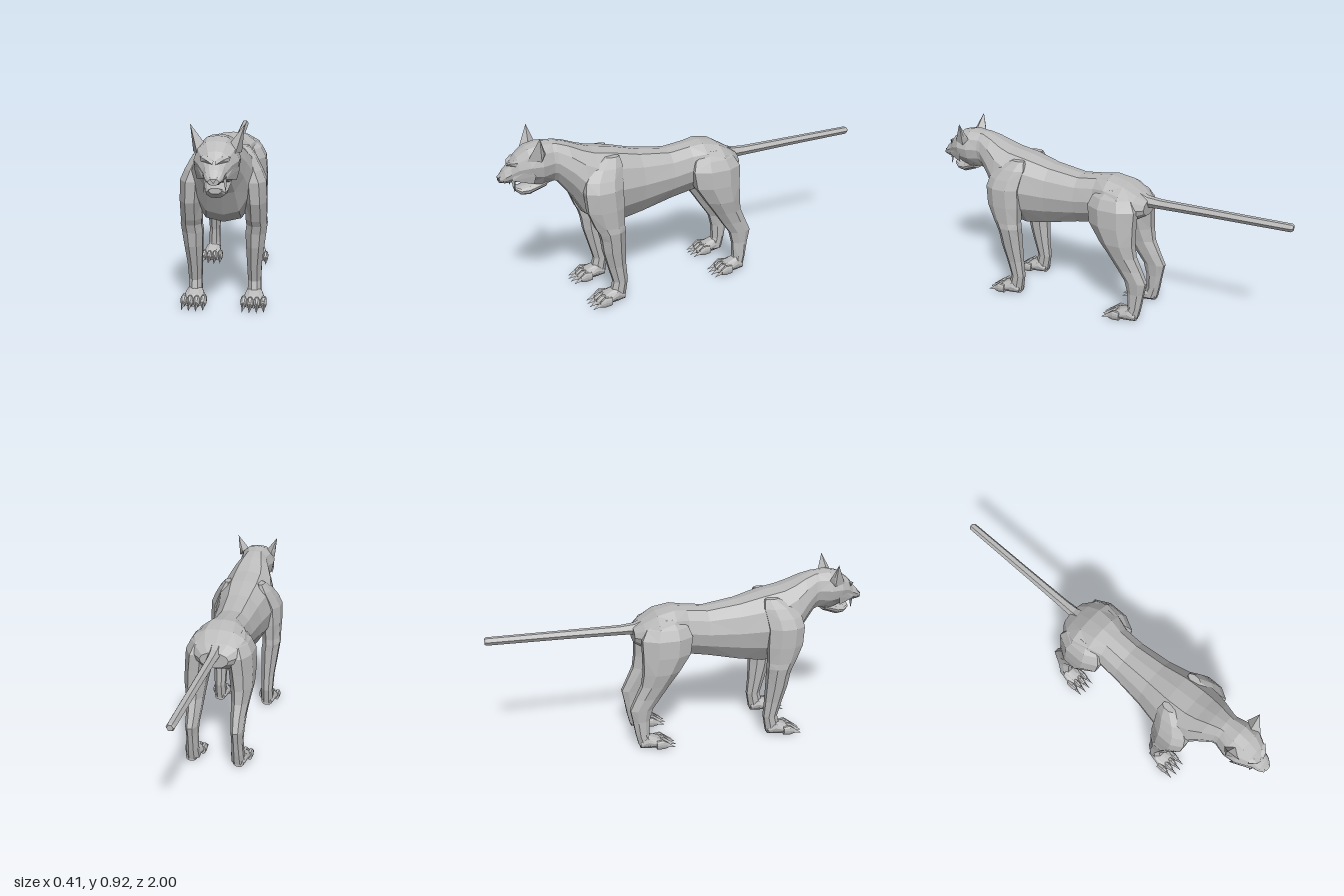
import * as THREE from 'three';
import { ConvexGeometry } from 'three/addons/geometries/ConvexGeometry.js';

const V = (x, y, z) => new THREE.Vector3(x, y, z);

// Faceted skin over a list of equal-length rings, capped at both ends, facing outward
function loft(rings) {
  const tris = [];
  const n = rings[0].length;
  for (let i = 0; i < rings.length - 1; i++) {
    for (let j = 0; j < n; j++) {
      const k = (j + 1) % n;
      const a = rings[i][j], b = rings[i][k], c = rings[i + 1][k], d = rings[i + 1][j];
      if ((i + j) % 2) tris.push([a, b, c], [a, c, d]);
      else tris.push([a, b, d], [b, c, d]);
    }
  }
  const last = rings[rings.length - 1];
  for (let j = 1; j < n - 1; j++) {
    tris.push([rings[0][0], rings[0][j + 1], rings[0][j]], [last[0], last[j], last[j + 1]]);
  }
  // The signed volume tells which way the faces point
  const mid = rings[0][0];
  let volume = 0;
  for (const [a, b, c] of tris) {
    volume += a.clone().sub(mid).dot(b.clone().sub(mid).cross(c.clone().sub(mid)));
  }
  const points = tris.flatMap(([a, b, c]) => (volume < 0 ? [a, c, b] : [a, b, c]));
  const geo = new THREE.BufferGeometry().setFromPoints(points);
  geo.computeVertexNormals();
  return geo;
}

// Half outline of a torso section, from the spine down to the belly
const HALF = [[0, 1], [0.45, 0.94], [0.82, 0.62], [1, 0.1], [0.9, -0.4], [0.52, -0.9], [0, -1]];
const OUTLINE = [...HALF, ...HALF.slice(1, -1).reverse().map(([x, y]) => [-x, y])];

// Upright section across z
function section(z, top, bottom, w, cx = 0) {
  const cy = (top + bottom) / 2, h = (top - bottom) / 2;
  return OUTLINE.map(([x, y]) => V(cx + x * w, cy + y * h, z));
}

// Level eight-sided section of a limb
function limbRing(side, [y, x, z, rx, rz]) {
  return Array.from({ length: 8 }, (_, i) => {
    const a = (i + 0.5) * Math.PI / 4;
    return V(side * (x + Math.cos(a) * rx * 1.06), y, z + Math.sin(a) * rz * 1.06);
  });
}

// z, top, bottom, half width
const BODY = [
  [0.80, 0.865, 0.69, 0.075], [0.72, 0.862, 0.655, 0.085], [0.66, 0.845, 0.575, 0.115],
  [0.60, 0.82, 0.465, 0.145], [0.54, 0.80, 0.415, 0.16], [0.43, 0.78, 0.395, 0.16],
  [0.30, 0.745, 0.415, 0.132], [0.13, 0.72, 0.455, 0.115], [0.02, 0.733, 0.475, 0.113],
  [-0.05, 0.742, 0.49, 0.14], [-0.14, 0.722, 0.515, 0.16], [-0.21, 0.68, 0.54, 0.13],
  [-0.258, 0.645, 0.565, 0.075],
];
const HEAD = [
  [0.73, 0.862, 0.665, 0.08], [0.80, 0.868, 0.655, 0.10], [0.86, 0.855, 0.675, 0.097],
  [0.91, 0.82, 0.69, 0.07], [0.94, 0.782, 0.69, 0.05], [0.97, 0.755, 0.69, 0.042],
  [0.995, 0.722, 0.695, 0.024],
];
const JAW = [
  [0.78, 0.70, 0.645, 0.062], [0.86, 0.672, 0.615, 0.05],
  [0.90, 0.662, 0.62, 0.042], [0.925, 0.668, 0.642, 0.028],
];
// y, x, z, half width, half depth
const FRONT_LEG = [
  [0.765, 0.095, 0.46, 0.018, 0.035], [0.72, 0.108, 0.495, 0.042, 0.08],
  [0.67, 0.125, 0.52, 0.053, 0.095], [0.62, 0.143, 0.53, 0.057, 0.097],
  [0.52, 0.15, 0.525, 0.053, 0.095], [0.43, 0.152, 0.51, 0.05, 0.075],
  [0.40, 0.155, 0.50, 0.05, 0.068], [0.36, 0.15, 0.495, 0.05, 0.062],
  [0.29, 0.147, 0.49, 0.044, 0.058], [0.20, 0.143, 0.477, 0.036, 0.047],
  [0.11, 0.143, 0.462, 0.032, 0.038], [0.02, 0.143, 0.482, 0.034, 0.042],
];
const HIND_LEG = [
  [0.70, 0.07, -0.09, 0.035, 0.05], [0.66, 0.088, -0.095, 0.06, 0.11],
  [0.61, 0.105, -0.10, 0.068, 0.133], [0.52, 0.115, -0.105, 0.065, 0.125],
  [0.43, 0.122, -0.135, 0.057, 0.095], [0.36, 0.12, -0.165, 0.046, 0.075],
  [0.29, 0.118, -0.205, 0.038, 0.068], [0.225, 0.12, -0.243, 0.033, 0.06],
  [0.16, 0.12, -0.245, 0.029, 0.045], [0.08, 0.122, -0.24, 0.032, 0.036],
  [0.02, 0.123, -0.22, 0.036, 0.042],
];
// z, y, radius
const TAIL = [
  [-0.16, 0.66, 0.045], [-0.25, 0.633, 0.031], [-0.32, 0.631, 0.026],
  [-0.6, 0.635, 0.023], [-0.99, 0.639, 0.021], [-1, 0.639, 0.015],
];

export function createModel() {
  const model = new THREE.Group();
  model.name = 'bigCat';
  const fur = new THREE.MeshStandardMaterial({ color: 0xbababa });
  fur.name = 'greyFur';

  const add = (name, geometry, parent = model) => {
    const mesh = new THREE.Mesh(geometry, fur);
    mesh.name = name;
    parent.add(mesh);
  };
  const sections = (rows, cx) => loft(rows.map((r) => section(...r, cx)));

  add('torsoAndNeck', sections(BODY));

  // Straight six-sided tail
  add('tail', loft(TAIL.map(([z, y, r]) => Array.from({ length: 6 }, (_, i) => {
    const a = i * Math.PI / 3;
    return V(Math.cos(a) * r, y + Math.sin(a) * r, z);
  }))));

  // Head with open mouth
  const head = new THREE.Group();
  head.name = 'head';
  model.add(head);
  add('skull', sections(HEAD), head);
  add('lowerJaw', sections(JAW), head);
  add('nose', new ConvexGeometry([
    V(-0.02, 0.728, 0.985), V(0.02, 0.728, 0.985), V(-0.014, 0.722, 1), V(0.014, 0.722, 1),
    V(0, 0.703, 1), V(0, 0.70, 0.98),
  ]), head);

  for (const s of [1, -1]) {
    const side = s > 0 ? 'left' : 'right';
    const hull = (pts) => new ConvexGeometry(pts.map(([x, y, z]) => V(s * x, y, z)));

    add(side + 'Ear', hull([
      [0.116, 0.92, 0.815], [0.058, 0.845, 0.825], [0.104, 0.80, 0.81],
      [0.08, 0.805, 0.872], [0.085, 0.83, 0.785], [0.106, 0.85, 0.80],
    ]), head);
    add(side + 'Brow', hull([
      [0.004, 0.785, 0.945], [0.035, 0.79, 0.945], [0.064, 0.798, 0.915],
      [0.006, 0.773, 0.955], [0.06, 0.78, 0.918], [0.03, 0.81, 0.90],
    ]), head);
    add(side + 'Cheek', hull([
      [0.052, 0.752, 0.925], [0.088, 0.765, 0.87], [0.098, 0.735, 0.84],
      [0.048, 0.71, 0.945], [0.085, 0.69, 0.85], [0.04, 0.735, 0.90],
    ]), head);
    add(side + 'UpperFang', hull([
      [0.036, 0.71, 0.945], [0.05, 0.71, 0.932], [0.038, 0.71, 0.922], [0.046, 0.65, 0.935],
    ]), head);

    // Four toes with claws on each paw
    const paw = (name, cx, heel, width) => {
      const group = new THREE.Group();
      group.name = name;
      model.add(group);
      add('pawPad', sections([
        [heel, 0.045, 0.004, width * 0.5], [heel + 0.04, 0.08, 0, width * 0.7],
        [heel + 0.10, 0.056, 0, width * 0.9], [heel + 0.13, 0.035, 0.004, width * 0.8],
      ], s * cx), group);
      for (let i = 0; i < 4; i++) {
        const t = (i - 1.5) / 1.5;
        const x = s * cx + t * width * 0.76;
        const z = heel + 0.095 - Math.abs(t) * 0.014;
        const w = width * 0.23;
        add('toe', sections([
          [z, 0.05, 0.004, w], [z + 0.035, 0.055, 0, w * 1.1], [z + 0.062, 0.034, 0.006, w * 0.7],
        ], x), group);
        add('claw', new ConvexGeometry([
          V(x - 0.01, 0.016, z + 0.05), V(x + 0.01, 0.016, z + 0.05),
          V(x, 0.042, z + 0.052), V(x + t * 0.004, 0.003, z + 0.103),
        ]), group);
      }
    };

    add(side + 'FrontLeg', loft(FRONT_LEG.map((r) => limbRing(s, r))));
    add(side + 'HindLeg', loft(HIND_LEG.map((r) => limbRing(s, r))));
    paw(side + 'FrontPaw', 0.143, 0.447, 0.062);
    paw(side + 'HindPaw', 0.127, -0.255, 0.058);
  }
  return model;
}
